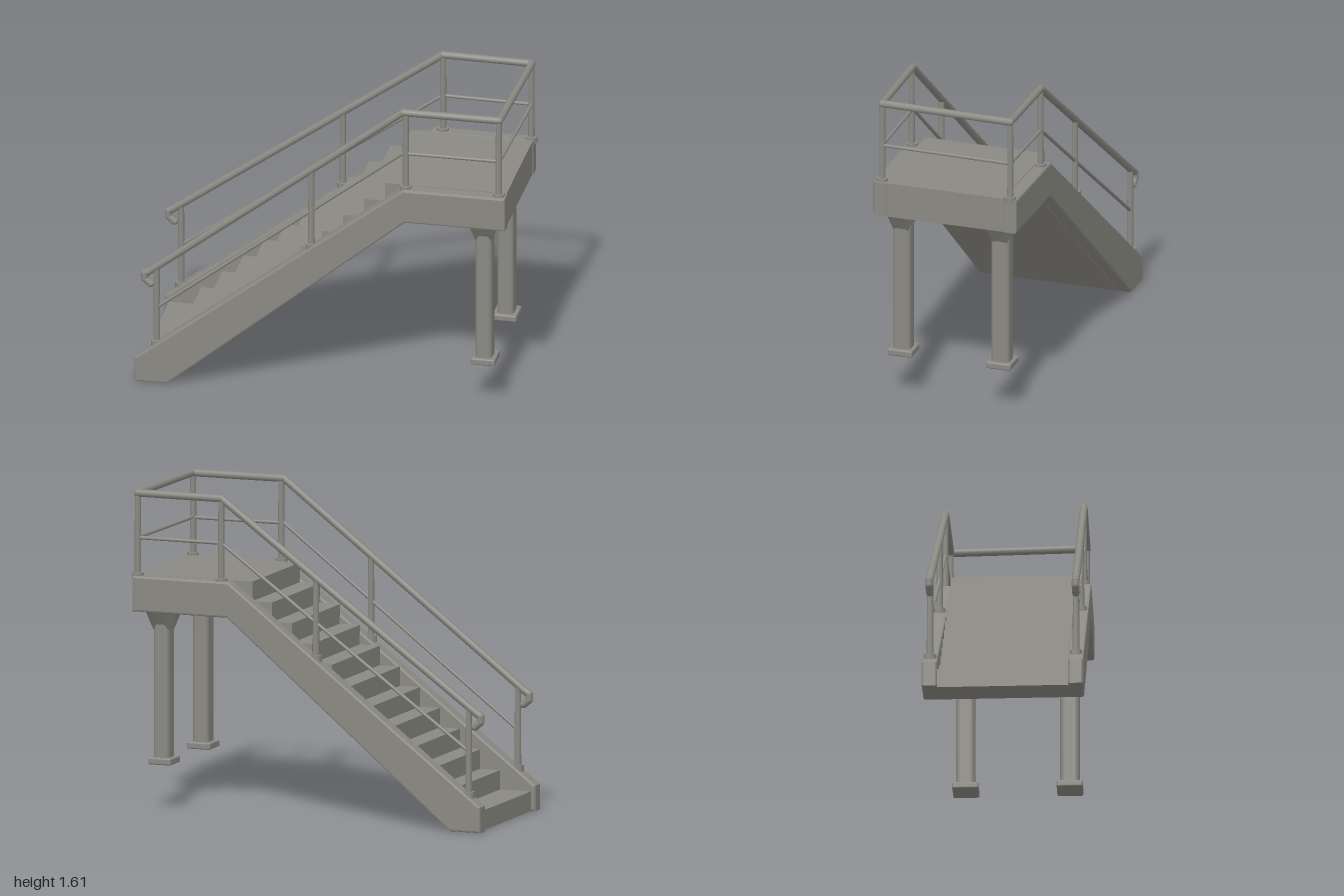
import * as THREE from 'three';
import { RoundedBoxGeometry } from 'three/addons/geometries/RoundedBoxGeometry.js';

const CENTRE_Z = -0.019;
const steel = new THREE.MeshStandardMaterial({ color: 0x8a8982 });
steel.name = 'grey steel';

export function createModel() {
  const model = new THREE.Group();
  model.name = 'staircase';
  const stairs = new THREE.Group();
  stairs.name = 'stairsAndLanding';
  stairs.rotation.y = THREE.MathUtils.degToRad(9.2);
  model.add(stairs);

  // Adds a part; the whole stair narrows slightly towards the landing
  function add(name, geo) {
    const p = geo.attributes.position;
    for (let i = 0; i < p.count; i++) {
      p.setZ(i, p.getZ(i) * (1 - 0.037 * p.getX(i)) + CENTRE_Z);
    }
    const mesh = new THREE.Mesh(geo, steel);
    mesh.name = name;
    stairs.add(mesh);
  }

  // Side profile pushed out between z0 and z1
  function slab(name, points, z0, z1, bevel) {
    const shape = new THREE.Shape(points.map(([x, y]) => new THREE.Vector2(x, y)));
    const geo = new THREE.ExtrudeGeometry(shape, {
      depth: z1 - z0 - 2 * bevel, bevelEnabled: bevel > 0, bevelSize: bevel,
      bevelThickness: bevel, bevelOffset: -bevel, bevelSegments: 2,
    });
    geo.translate(0, 0, z0 + bevel);
    add(name, geo);
  }

  // Round bar between two points
  function bar(name, a, b, r0, r1 = r0) {
    const from = new THREE.Vector3(...a), to = new THREE.Vector3(...b);
    const dir = to.clone().sub(from);
    const geo = new THREE.CylinderGeometry(r1, r0, dir.length(), 10);
    geo.applyQuaternion(new THREE.Quaternion().setFromUnitVectors(
      new THREE.Vector3(0, 1, 0), dir.normalize()));
    const mid = from.add(to).multiplyScalar(0.5);
    geo.translate(mid.x, mid.y, mid.z);
    add(name, geo);
  }

  // Chain of bars with ball joints
  function railing(name, points, r) {
    points.forEach((p, i) => {
      if (i > 0) bar(name, points[i - 1], p, r);
      add(name + 'Joint', new THREE.SphereGeometry(r, 10, 8).translate(...p));
    });
  }

  // Steps and landing deck as one solid
  const runs = 11, stepTop = 0.1, rise = 1.08 / runs, run = 1.18 / runs;
  const steps = [[-0.915, 0], [-0.77, 0], [0.435, 1.0], [0.94, 1.0], [0.94, 1.18]];
  for (let i = runs - 1; i >= 0; i--) {
    const x = -0.75 + i * run;
    steps.push([x, stepTop + (i + 1) * rise], [x, stepTop + i * rise]);
  }
  steps.push([-0.915, stepTop]);
  slab('stepsAndDeck', steps, -0.318, 0.318, 0);

  // Side stringers, running on along the landing
  const stringer = [[-0.937, 0], [-0.77, 0], [0.435, 1.0], [0.945, 1.0],
    [0.945, 1.18], [0.425, 1.18], [-0.937, 0.13]];
  slab('leftStringer', stringer, 0.315, 0.39, 0.01);
  slab('rightStringer', stringer, -0.39, -0.315, 0.01);

  const baseY = (x) => Math.min(1.18, 0.13 + (x + 0.937) * 0.771);
  const railTop = 1.595, midDrop = 0.225, railZ = 0.352;

  // Handrails, mid rails and posts on both sides
  const sides = [
    { name: 'front', z: railZ, start: -0.865, bend: 0.42, end: 0.91, posts: [-0.83, -0.045, 0.435, 0.907] },
    { name: 'back', z: -railZ, start: -0.9, bend: 0.475, end: 0.93, posts: [-0.861, -0.035, 0.477, 0.928] },
  ];
  for (const { name, z, start, bend, end, posts } of sides) {
    const railY = (x) => Math.min(railTop,
      0.6 + (x - start) * (railTop - 0.6) / (bend - start));
    railing(name + 'Handrail', [[start + 0.005, 0.53, z], [start - 0.025, 0.555, z],
      [start - 0.025, 0.585, z], [start, 0.6, z], [bend, railTop, z], [end, railTop, z]], 0.019);
    railing(name + 'MidRail', [[posts[0], railY(posts[0]) - midDrop, z],
      [bend, railTop - midDrop, z], [end, railTop - midDrop, z]], 0.009);
    posts.forEach((x) => {
      const y = baseY(x);
      bar(name + 'Post', [x, y - 0.03, z], [x, railY(x), z], 0.017, 0.015);
      bar(name + 'PostFoot', [x, y - 0.02, z], [x, y + 0.013, z], 0.03);
    });
  }

  // Rails across the end of the landing
  const [f, b] = sides;
  bar('endHandrail', [f.end, railTop, f.z], [b.end, railTop, b.z], 0.019);
  bar('endMidRail', [f.end, railTop - midDrop, f.z], [b.end, railTop - midDrop, b.z], 0.009);

  // Support legs with flared heads and foot plates
  for (const side of [1, -1]) {
    const z = side * 0.268, x = 0.82;
    add('leg', new RoundedBoxGeometry(0.085, 0.78, 0.1, 3, 0.025).translate(x, 0.625, z));
    const head = new THREE.CylinderGeometry(0.105, 0.058, 0.1, 4, 1, true);
    head.rotateY(Math.PI / 4).translate(x, 0.955, z);
    add('legHead', head);
    add('legFoot', new RoundedBoxGeometry(0.125, 0.035, 0.135, 2, 0.008).translate(x, 0.242, z));
  }

  return model;
}
